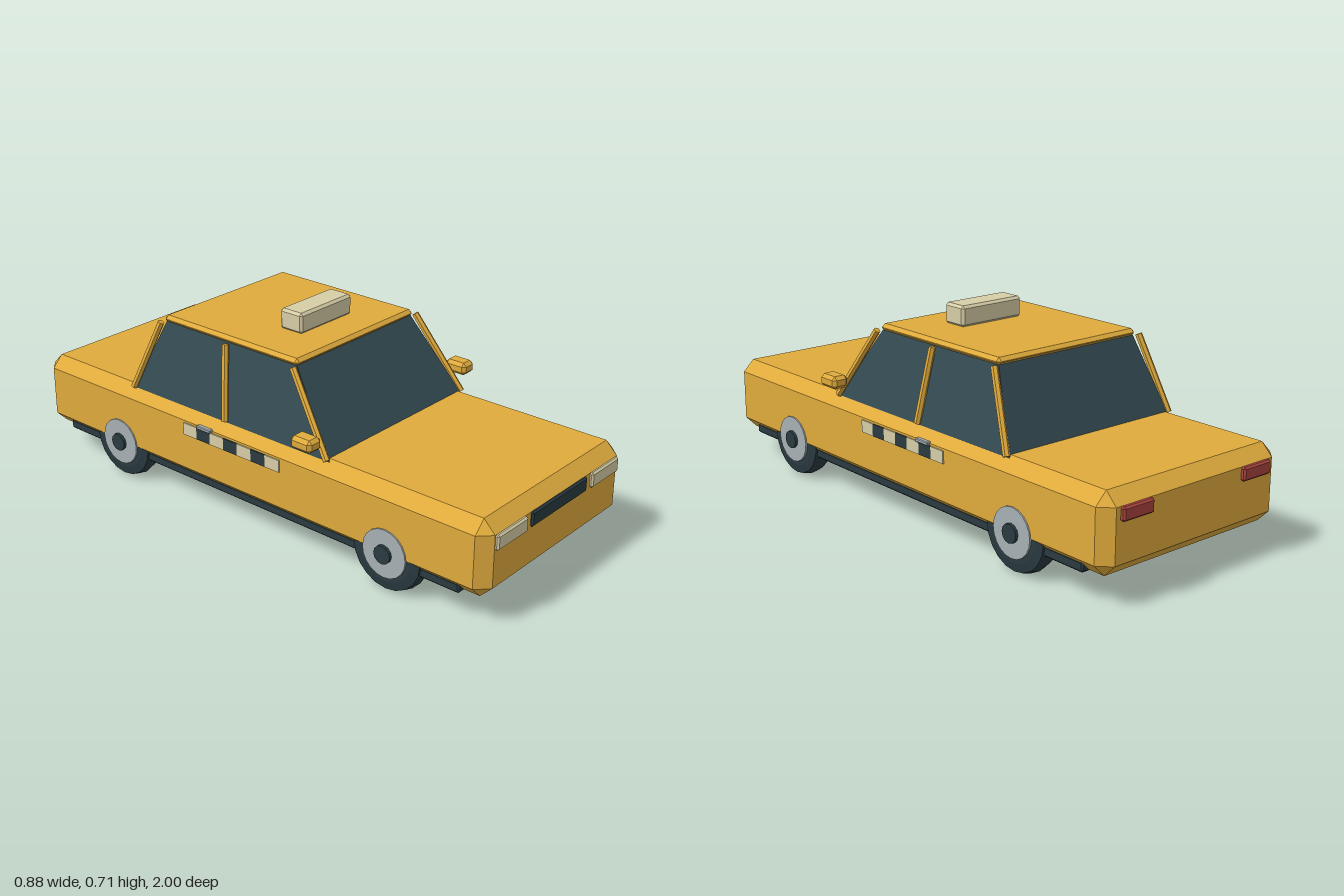
import * as THREE from 'three';
import { ConvexGeometry } from 'three/addons/geometries/ConvexGeometry.js';

const mat = (name, color) => {
  const m = new THREE.MeshStandardMaterial({ color });
  m.name = name;
  return m;
};

// Flat facets for low-poly parts
function faceted(geometry) {
  const g = geometry.index ? geometry.toNonIndexed() : geometry;
  g.computeVertexNormals();
  return g;
}

// Box between two corners, with every edge and corner cut by c
function chamferBox(x0, x1, y0, y1, z0, z1, c) {
  const h = [(x1 - x0) / 2, (y1 - y0) / 2, (z1 - z0) / 2];
  const points = [];
  for (const sx of [-1, 1]) for (const sy of [-1, 1]) for (const sz of [-1, 1]) {
    for (let axis = 0; axis < 3; axis++) {
      const p = h.map((v, i) => (i === axis ? v : v - c));
      points.push(new THREE.Vector3(p[0] * sx, p[1] * sy, p[2] * sz));
    }
  }
  return new ConvexGeometry(points).translate((x0 + x1) / 2, (y0 + y1) / 2, (z0 + z1) / 2);
}

export function createModel() {
  const car = new THREE.Group();
  car.name = 'taxi';

  const yellow = mat('yellow paint', 0xdfaa3c);
  const glass = mat('tinted glass', 0x344b53);
  const dark = mat('dark rubber', 0x2a3b41);
  const cream = mat('cream', 0xd6cda6);
  const red = mat('red lens', 0xa8443e);
  const metal = mat('grey metal', 0xa6b0b3);

  const add = (name, geometry, material, parent = car) => {
    const mesh = new THREE.Mesh(geometry, material);
    mesh.name = name;
    parent.add(mesh);
    return mesh;
  };

  // Body, floor, roof and roof sign
  add('body', chamferBox(-0.385, 0.385, 0.1, 0.364, -0.985, 0.985, 0.042), yellow);
  add('underbody', chamferBox(-0.37, 0.37, 0.094, 0.13, -0.88, 0.885, 0.006), dark);
  add('roof', chamferBox(-0.302, 0.302, 0.61, 0.637, -0.428, 0.182, 0.012), yellow);
  add('roofSign', chamferBox(-0.13, 0.13, 0.635, 0.708, -0.048, 0.048, 0.009), cream);

  // Tapered glass cabin
  const cabin = [];
  for (const s of [-1, 1]) {
    cabin.push(
      new THREE.Vector3(s * 0.353, 0.355, 0.36), new THREE.Vector3(s * 0.353, 0.355, -0.537),
      new THREE.Vector3(s * 0.294, 0.615, 0.175), new THREE.Vector3(s * 0.294, 0.615, -0.42));
  }
  add('cabinGlass', new ConvexGeometry(cabin), glass);

  // Front grille
  add('grille', chamferBox(-0.155, 0.155, 0.269, 0.322, 0.97, 0.993, 0.006), dark);

  // Roof pillars: bottom z, top z
  const pillars = [['frontPillar', 0.355, 0.178], ['middlePillar', -0.09, -0.12], ['rearPillar', -0.532, -0.425]];

  // Tyre profile: radius, position across the width
  const tyreProfile = [[0, -0.038], [0.1, -0.038], [0.13, -0.031], [0.138, 0], [0.13, 0.031], [0.1, 0.038], [0, 0.038]]
    .map(([r, w]) => new THREE.Vector2(r, w));

  for (const s of [1, -1]) {
    const side = s > 0 ? 'left' : 'right';
    const sideBox = (x0, x1, ...rest) =>
      s > 0 ? chamferBox(x0, x1, ...rest) : chamferBox(-x1, -x0, ...rest);

    // Lights and mirrors
    add(side + 'Headlight', sideBox(0.181, 0.34, 0.269, 0.322, 0.97, 0.996, 0.006), cream);
    add(side + 'TailLight', sideBox(0.198, 0.325, 0.276, 0.322, -1, -0.97, 0.006), red);
    add(side + 'Mirror', sideBox(0.376, 0.438, 0.406, 0.451, 0.267, 0.353, 0.012), yellow);
    add(side + 'DoorHandle', sideBox(0.38, 0.398, 0.315, 0.328, -0.19, -0.125, 0.003), metal);

    // Slanted pillars
    for (const [name, z0, z1] of pillars) {
      const a = new THREE.Vector3(s * 0.359, 0.36, z0);
      const b = new THREE.Vector3(s * 0.317, 0.616, z1);
      const geometry = faceted(new THREE.CylinderGeometry(0.012, 0.012, a.distanceTo(b), 6));
      const pillar = add(side + name, geometry, yellow);
      pillar.position.copy(a).lerp(b, 0.5);
      pillar.quaternion.setFromUnitVectors(new THREE.Vector3(0, 1, 0), b.clone().sub(a).normalize());
    }

    // Chequered strip of thin plates
    for (let i = 0; i < 7; i++) {
      const plate = add(side + 'Check' + (i + 1), new THREE.BoxGeometry(0.008, 0.043, 0.0625), i % 2 ? dark : cream);
      plate.position.set(s * 0.386, 0.293, 0.147 - i * 0.0625);
    }

    // Wheels, built along y with the outer face up, then turned outward
    for (const [end, z] of [['Front', 0.613], ['Rear', -0.59]]) {
      const wheel = new THREE.Group();
      wheel.name = side + end + 'Wheel';
      wheel.position.set(s * 0.345, 0.138, z);
      wheel.rotation.z = -s * Math.PI / 2;
      add('tyre', faceted(new THREE.LatheGeometry(tyreProfile, 20)), dark, wheel);
      add('hub', faceted(new THREE.CylinderGeometry(0.084, 0.084, 0.02, 20)), metal, wheel).position.y = 0.035;
      add('hubCap', faceted(new THREE.CylinderGeometry(0.032, 0.032, 0.025, 12)), dark, wheel).position.y = 0.043;
      car.add(wheel);
    }
  }
  return car;
}
